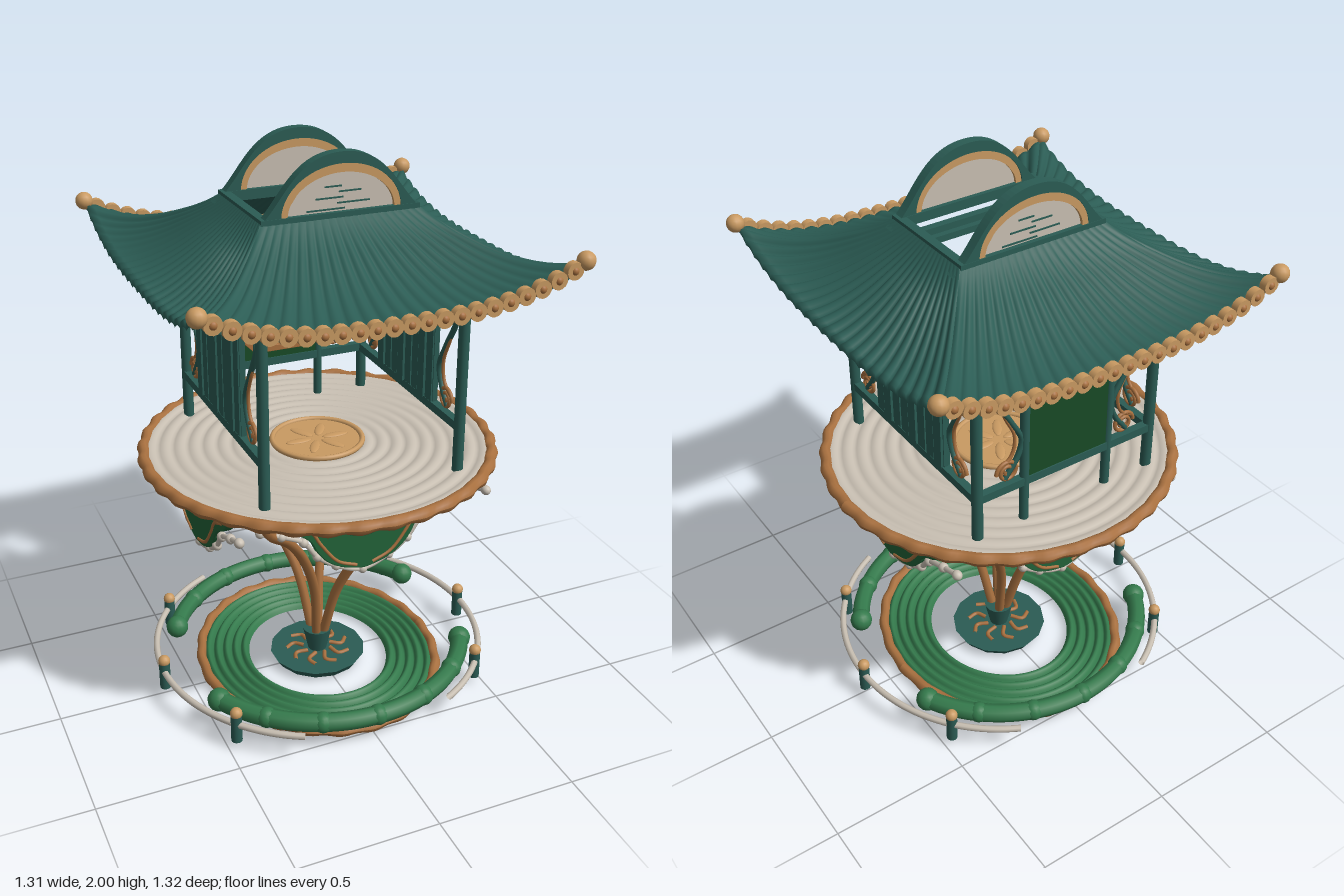
import * as THREE from 'three';

const mat = (name, color, side = THREE.FrontSide) => {
  const m = new THREE.MeshStandardMaterial({ color, side });
  m.name = name;
  return m;
};
const V = (x, y, z) => new THREE.Vector3(x, y, z);

export function createModel() {
  const teal = mat('teal', 0x2b5c54, THREE.DoubleSide);
  const green = mat('bambooGreen', 0x347a4c, THREE.DoubleSide);
  const leaf = mat('bracketGreen', 0x226339);
  const dark = mat('panelGreen', 0x184a26);
  const tan = mat('tan', 0xc99a62);
  const wood = mat('wood', 0xa8703f);
  const beige = mat('beige', 0xc9c0b3, THREE.DoubleSide);
  const root = new THREE.Group();
  root.name = 'gardenPavilion';

  const group = (name, parent = root) => {
    const g = new THREE.Group();
    g.name = name;
    parent.add(g);
    return g;
  };
  const add = (parent, name, geo, m, x = 0, y = 0, z = 0) => {
    const mesh = new THREE.Mesh(geo, m);
    mesh.name = name;
    mesh.position.set(x, y, z);
    parent.add(mesh);
    return mesh;
  };
  const box = (p, name, m, w, h, d, x, y, z) => add(p, name, new THREE.BoxGeometry(w, h, d), m, x, y, z);
  const rod = (p, name, m, r, h, x, y, z, rTop = r) => add(p, name, new THREE.CylinderGeometry(rTop, r, h, 14), m, x, y, z);
  const ball = (p, name, m, r, x, y, z) => add(p, name, new THREE.SphereGeometry(r, 14, 10), m, x, y, z);
  const tube = (p, name, m, r, pts, seg = 32) =>
    add(p, name, new THREE.TubeGeometry(new THREE.CatmullRomCurve3(pts), seg, r, 8), m);
  const arc = (r, y, a0, a1, n = 24) => Array.from({ length: n + 1 }, (_, i) => {
    const a = a0 + (a1 - a0) * i / n;
    return V(r * Math.cos(a), y, r * Math.sin(a));
  });
  const plate = (p, name, m, shape, depth, z, bevel = 0) => add(p, name, new THREE.ExtrudeGeometry(shape, {
    depth, curveSegments: 24, bevelEnabled: bevel > 0, bevelSize: bevel, bevelThickness: bevel, bevelSegments: 2,
  }), m, 0, 0, z);
  // rippled annulus, made of concentric ridges
  const ripples = (r0, r1, y, h, n) => new THREE.LatheGeometry(Array.from({ length: n * 6 + 1 }, (_, i) =>
    new THREE.Vector2(r1 + (r0 - r1) * i / (n * 6), y + h * Math.abs(Math.sin(Math.PI * i / 6)))), 72);
  // ring of short bamboo segments
  const bambooRing = (p, name, m, r, tubeR, y, n) => {
    const ring = new THREE.TorusGeometry(r, tubeR, 10, n * 6), pos = ring.attributes.position;
    for (let i = 0; i < pos.count; i++) {
      const a = Math.atan2(pos.getY(i), pos.getX(i));
      const k = 1 + 0.006 * Math.cos(a * n);
      pos.setXYZ(i, pos.getX(i) * k, pos.getY(i) * k, pos.getZ(i) * (1 + 0.14 * Math.cos(a * n)));
    }
    ring.rotateX(Math.PI / 2);
    ring.computeVertexNormals();
    return add(p, name, ring, m, 0, y, 0);
  };

  // base: oval basin, centre dish and socket
  const base = group('base');
  const basin = group('basin', base);
  basin.scale.set(0.92, 1, 1.04);
  bambooRing(basin, 'basinRim', wood, 0.475, 0.02, 0.025, 24);
  add(basin, 'basinTerraces', ripples(0.28, 0.465, 0.018, 0.022, 5), green);
  rod(base, 'centreDish', teal, 0.16, 0.03, 0, 0.025, 0, 0.18);
  for (let i = 0; i < 9; i++) {
    const a = i * Math.PI * 2 / 9, c = Math.cos(a), s = Math.sin(a);
    tube(base, 'rootRelief', wood, 0.008, [V(c * 0.05, 0.045, s * 0.05),
      V(c * 0.09 - s * 0.02, 0.041, s * 0.09 + c * 0.02), V(c * 0.12 + s * 0.01, 0.04, s * 0.12 - c * 0.01)], 10);
  }
  rod(base, 'socket', teal, 0.035, 0.09, 0, 0.085, 0, 0.055);

  // thick bamboo arcs at front and back, railings on both sides
  for (const turn of [0, Math.PI]) {
    const g = group('borderHalf', base);
    g.rotation.y = turn;
    const pts = arc(0.54, 0.105, 0.47, Math.PI - 0.47);
    tube(g, 'bambooBorder', green, 0.033, pts, 60);
    for (let i = 0; i <= 24; i += 4) ball(g, 'bambooKnot', green, i % 24 ? 0.037 : 0.042, ...pts[i].toArray());
    tube(g, 'railing', beige, 0.012, arc(0.61, 0.1, -1.1, 1.1), 48);
    for (const a of [-0.69, 0, 0.69]) {
      const x = 0.607 * Math.cos(a), z = 0.607 * Math.sin(a);
      rod(g, 'railingPost', teal, 0.02, 0.11, x, 0.085, z);
      ball(g, 'postCap', tan, 0.022, x, 0.143, z);
    }
  }

  // four flared legs
  for (const sx of [-1, 1]) for (const sz of [-1, 1])
    tube(root, 'leg', wood, 0.018, [[0.012, 0.1, 0.02], [0.05, 0.36, 0.09], [0.13, 0.56, 0.185], [0.235, 0.72, 0.3],
      [0.34, 0.83, 0.4], [0.37, 0.89, 0.42]].map(([x, y, z]) => V(sx * x, y, sz * z)), 40);

  // hanging crescent brackets below the floor
  const crescent = new THREE.Shape();
  crescent.moveTo(-0.31, 0.885);
  crescent.bezierCurveTo(-0.28, 0.79, -0.21, 0.82, -0.18, 0.74);
  crescent.bezierCurveTo(-0.14, 0.66, -0.07, 0.64, 0, 0.63);
  crescent.bezierCurveTo(0.07, 0.64, 0.14, 0.66, 0.18, 0.74);
  crescent.bezierCurveTo(0.21, 0.82, 0.28, 0.79, 0.31, 0.885);
  crescent.lineTo(0.12, 0.885);
  crescent.absarc(0, 0.885, 0.12, 0, Math.PI, true);
  for (const s of [-1, 1]) {
    const hole = new THREE.Path();
    hole.absellipse(s * 0.17, 0.83, 0.022, 0.03, 0, Math.PI * 2, true);
    crescent.holes.push(hole);
  }
  const chain = [[-0.375, 0.835], [-0.3, 0.805], [-0.22, 0.765], [-0.17, 0.7], [-0.1, 0.65], [0, 0.615],
    [0.1, 0.65], [0.17, 0.7], [0.22, 0.765], [0.3, 0.805], [0.375, 0.835]];
  for (let k = 0; k < 4; k++) {
    const g = group('bracket'), side = k % 2;
    g.rotation.y = k * Math.PI / 2;
    g.scale.x = side ? 1.12 : 0.98;
    g.position.set(Math.sin(k * Math.PI / 2) * (side ? 0.45 : 0.39), 0, Math.cos(k * Math.PI / 2) * (side ? 0.45 : 0.39));
    plate(g, 'crescent', leaf, crescent, 0.024, -0.012, 0.004);
    tube(g, 'lowerTrim', beige, 0.009, chain.map(([x, y]) => V(x, y, 0)), 60);
    chain.forEach(([x, y]) => ball(g, 'trimBead', beige, 0.017, x, y, 0));
    const rim = add(g, 'cutoutTrim', new THREE.TorusGeometry(0.125, 0.009, 8, 28, Math.PI), green, 0, 0.885, 0.012);
    rim.rotation.z = Math.PI;
    for (const s of [-1, 1]) {
      for (const z of [-0.016, 0.016])
        tube(g, 'edgeScroll', wood, 0.006, [V(s * 0.03, 0.645, z), V(s * 0.1, 0.675, z), V(s * 0.165, 0.755, z),
          V(s * 0.2, 0.81, z), V(s * 0.28, 0.85, z)], 24);
      ball(g, 'scrollBud', wood, 0.018, s * 0.225, 0.835, 0.01);
    }
  }

  // round floor with rim and centre medallion
  const floor = group('floor');
  add(floor, 'floorTop', ripples(0, 0.615, 0.918, 0.008, 12), beige);
  add(floor, 'floorUnderside', ripples(0, 0.615, 0.895, -0.008, 9), beige);
  bambooRing(floor, 'floorRim', wood, 0.612, 0.022, 0.912, 36);
  rod(floor, 'medallion', tan, 0.165, 0.014, 0, 0.925, 0);
  add(floor, 'medallionRim', new THREE.TorusGeometry(0.16, 0.01, 8, 48).rotateX(Math.PI / 2), tan, 0, 0.932, 0);
  for (let i = 0; i < 6; i++) {
    const petal = ball(floor, 'medallionPetal', tan, 0.05, 0.07 * Math.cos(i * 1.047), 0.932, 0.07 * Math.sin(i * 1.047));
    petal.scale.set(1, 0.12, 0.35);
    petal.rotation.y = -i * 1.047;
  }

  // house frame
  const house = group('house');
  for (const x of [-0.35, 0.35]) {
    for (const z of [-0.39, 0.39]) rod(house, 'cornerPost', teal, 0.019, 0.72, x, 1.28, z);
    box(house, 'sideSill', teal, 0.028, 0.03, 0.78, x, 1.085, 0);
    box(house, 'sideBeam', teal, 0.028, 0.025, 0.8, x, 1.535, 0);
    box(house, 'sideUpperBeam', teal, 0.03, 0.025, 0.82, x, 1.6, 0);
    for (let i = -7; i <= 7; i++) box(house, 'beamPeg', teal, 0.022, 0.05, 0.025, x, 1.57, i * 0.052);
    box(house, 'sidePanel', teal, 0.016, 0.44, 0.42, x, 1.315, 0);
    for (let i = 0; i < 8; i++)
      box(house, 'panelPlank', teal, i % 3 ? 0.026 : 0.034, 0.44, 0.044, x, 1.315, -0.184 + i * 0.0526);
    rod(house, 'backInnerPost', teal, 0.016, 0.64, x * 0.48, 1.24, -0.39);
  }
  box(house, 'backSill', teal, 0.7, 0.03, 0.028, 0, 1.085, -0.39);
  for (const z of [-0.39, 0.39]) {
    box(house, 'endBeam', teal, 0.72, 0.025, 0.028, 0, 1.56, z);
    box(house, 'endUpperBeam', teal, 0.72, 0.025, 0.03, 0, 1.6, z);
  }

  // scrolls filling the open bays; s is the direction away from the panel
  const scroll = (place) => {
    tube(house, 'scrollStem', teal, 0.01, [[0.33, 1.5], [0.345, 1.46], [0.275, 1.33], [0.235, 1.25],
      [0.25, 1.19], [0.3, 1.12]].map(([a, y]) => place(a, y)), 36);
    const pts = [];
    for (let i = 0; i <= 40; i++) {
      const a = i * 0.33, r = 0.042 - 0.0009 * i;
      pts.push(place(0.29 + r * Math.cos(a), 1.145 + r * Math.sin(a)));
    }
    tube(house, 'scrollCurl', wood, 0.007, pts, 90);
    tube(house, 'scrollVine', wood, 0.006, [[0.345, 1.47], [0.3, 1.36], [0.262, 1.27], [0.275, 1.2],
      [0.33, 1.16]].map(([a, y]) => place(a, y)), 28);
  };
  for (const s of [-1, 1]) {
    for (const x of [-0.35, 0.35]) scroll((a, y) => V(x, y, s * a));
    scroll((a, y) => V(s * (a - 0.055), y, -0.39));
  }

  // back panel with carved plaque facing the inside
  box(house, 'backPanel', dark, 0.33, 0.43, 0.02, 0, 1.315, -0.39);
  const octagon = (w, h, c) => new THREE.Shape([[w, h - c], [w - c, h], [c - w, h], [-w, h - c], [-w, c - h], [c - w, -h],
    [w - c, -h], [w, c - h]].map(([x, y]) => new THREE.Vector2(x, y + 1.3)));
  plate(house, 'plaque', tan, octagon(0.125, 0.155, 0.04), 0.008, -0.378);
  const frame = octagon(0.138, 0.165, 0.045);
  frame.holes.push(octagon(0.118, 0.145, 0.038));
  plate(house, 'plaqueFrame', wood, frame, 0.018, -0.378, 0.002);
  for (const s of [-1, 1]) {
    tube(house, 'plaqueStem', tan, 0.007, [[0, 1.39], [0.03, 1.36], [0.012, 1.31], [0.035, 1.27], [0.01, 1.2]]
      .map(([x, y]) => V(s * x, y, -0.368)), 24);
    tube(house, 'plaqueLeaf', tan, 0.009, [[0.015, 1.22], [0.06, 1.22], [0.085, 1.26], [0.06, 1.28], [0.05, 1.25]]
      .map(([x, y]) => V(s * x, y, -0.368)), 24);
  }

  // roof: four concave slopes with ribs and raised corners
  const roof = group('roof');
  const RIBS = 22, NU = RIBS * 6, NV = 16;
  const roofY = (s, t) => 1.585 + 0.215 * (1 - t) ** 1.6 + 0.105 * Math.abs(s) ** 3 * t * t;
  const slope = (inX, inZ, outX, outZ) => {
    const pos = [], idx = [];
    for (let j = 0; j <= NV + 1; j++) for (let i = 0; i <= NU; i++) {
      const t = Math.min(j / NV, 1), s = i / NU * 2 - 1;
      const rib = 0.011 * Math.abs(Math.sin(Math.PI * RIBS * (s + 1) / 2)) * Math.min(1, t * 3);
      const drop = j > NV ? 0.022 : 0;
      pos.push(s * (inX + (outX - inX) * t), roofY(s, t) + rib - drop, inZ + (outZ - inZ) * t);
      if (j <= NV && i < NU) {
        const a = j * (NU + 1) + i, c = a + NU + 1;
        idx.push(a, c, a + 1, a + 1, c, c + 1);
      }
    }
    const geo = new THREE.BufferGeometry();
    geo.setAttribute('position', new THREE.Float32BufferAttribute(pos, 3));
    geo.setIndex(idx);
    geo.computeVertexNormals();
    return geo;
  };
  for (let k = 0; k < 4; k++) {
    const geo = k % 2 ? slope(0.19, 0.27, 0.63, 0.62) : slope(0.27, 0.19, 0.62, 0.63);
    add(roof, 'roofSlope', geo, teal).rotation.y = k * Math.PI / 2;
  }
  for (const sz of [-1, 1]) {
    for (let i = 0; i < RIBS; i++) {
      const s = (i + 0.5) / RIBS * 2 - 1;
      const cap = rod(roof, 'eaveCap', tan, 0.029, 0.026, s * 0.61, roofY(s, 1) - 0.002, sz * 0.63);
      cap.rotation.x = Math.PI / 2;
      ball(roof, 'eaveCapBoss', wood, 0.015, s * 0.61, roofY(s, 1) - 0.002, sz * 0.635);
    }
    for (const sx of [-1, 1]) ball(roof, 'cornerBall', tan, 0.031, sx * 0.625, 1.7, sz * 0.63);
    box(roof, 'openingEnd', teal, 0.03, 0.03, 0.4, sz * 0.257, 1.795, 0);
    box(roof, 'openingSide', teal, 0.53, 0.03, 0.04, 0, 1.795, sz * 0.18);
  }

  // arched gables over the roof opening
  const halfEllipse = (C, rx, ry) => {
    const c = new C();
    c.moveTo(rx, 1.805);
    c.absellipse(0, 1.805, rx, ry, 0, Math.PI);
    c.closePath();
    return c;
  };
  const arch = new THREE.Shape();
  arch.moveTo(-0.3, 1.775);
  arch.bezierCurveTo(-0.2, 1.84, -0.17, 2, 0, 2);
  arch.bezierCurveTo(0.17, 2, 0.2, 1.84, 0.3, 1.775);
  arch.closePath();
  arch.holes.push(halfEllipse(THREE.Path, 0.205, 0.158));
  const band = halfEllipse(THREE.Shape, 0.21, 0.16);
  band.holes.push(halfEllipse(THREE.Path, 0.183, 0.13));
  for (const sz of [-1, 1]) {
    const g = group('gable', roof);
    g.rotation.y = sz > 0 ? 0 : Math.PI;
    plate(g, 'gableArch', teal, arch, 0.036, 0.162);
    plate(g, 'gableBand', tan, band, 0.03, 0.166);
    plate(g, 'gablePanel', beige, halfEllipse(THREE.Shape, 0.19, 0.135), 0.008, 0.176);
    for (let i = 0; i < 5; i++)
      box(g, 'gableSlat', teal, 0.13 - 0.018 * i, 0.005, 0.004, (i % 2 ? 0.05 : -0.05) * (1 - i * 0.12), 1.818 + i * 0.018, 0.185);
  }
  return root;
}
